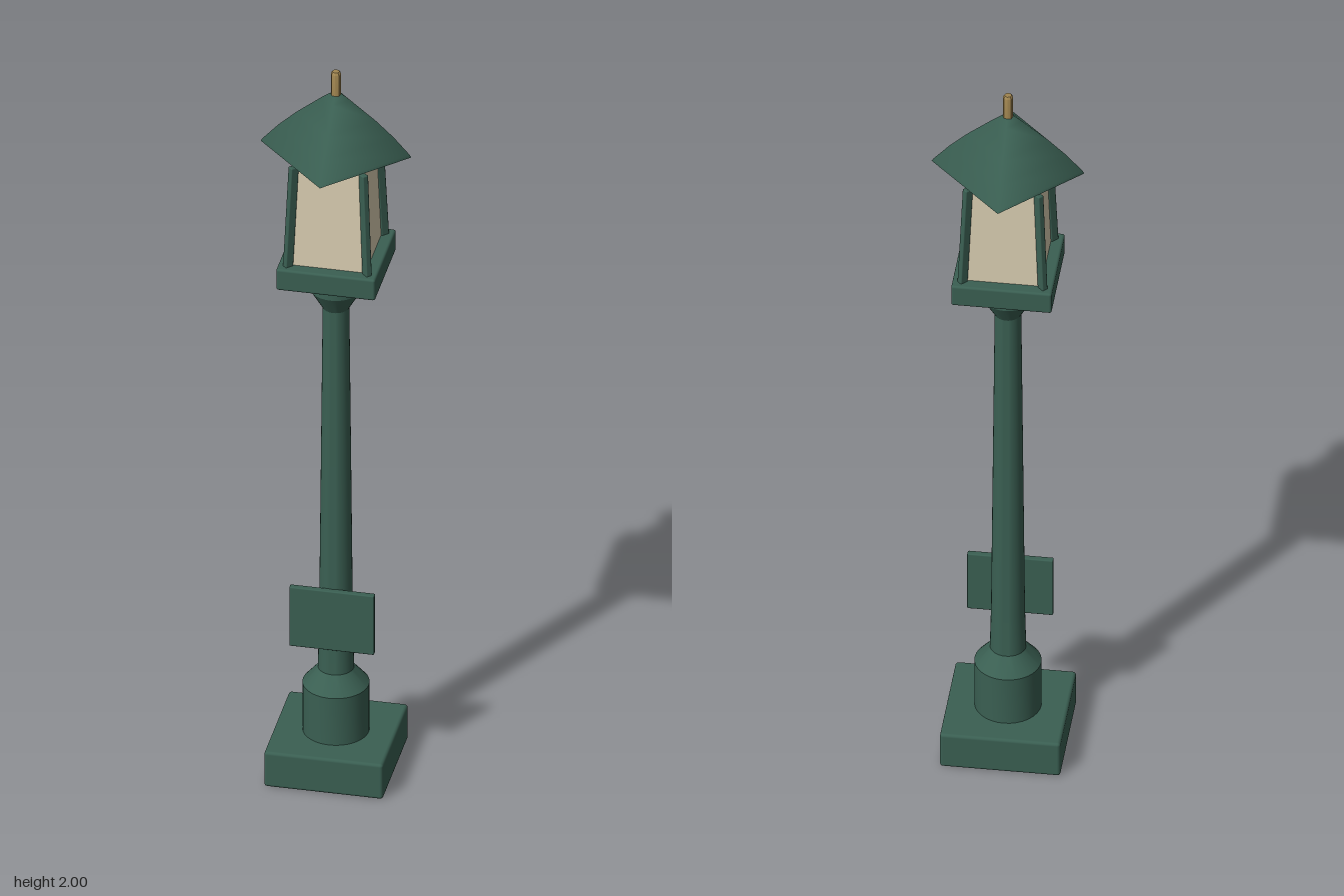
import * as THREE from 'three';
import { RoundedBoxGeometry } from 'three/addons/geometries/RoundedBoxGeometry.js';
import { toCreasedNormals } from 'three/addons/utils/BufferGeometryUtils.js';

const green = new THREE.MeshStandardMaterial({ color: 0x3a5f52 });
const cream = new THREE.MeshStandardMaterial({ color: 0xd8ccb0 });
const brass = new THREE.MeshStandardMaterial({ color: 0xa08550 });

export function createModel() {
  const model = new THREE.Group();

  const add = (name, geometry, material, x = 0, y = 0, z = 0) => {
    const mesh = new THREE.Mesh(geometry, material);
    mesh.name = name;
    mesh.position.set(x, y, z);
    model.add(mesh);
    return mesh;
  };
  const lathe = (points, sides, crease) => toCreasedNormals(
    new THREE.LatheGeometry(points.map(([r, y]) => new THREE.Vector2(r, y)), sides), crease);
  const block = (w, h, d, r) => new RoundedBoxGeometry(w, h, d, 2, r);

  // Square foot
  add('foot', block(0.3, 0.1, 0.3, 0.008), green, 0, 0.05, 0);

  // Turned post with a thick pedestal and a flared collar
  add('post', lathe([
    [0.083, 0.09], [0.083, 0.235], [0.045, 0.28], [0.042, 0.4],
    [0.033, 1.32], [0.065, 1.375], [0.065, 1.43],
  ], 32, 0.5), green);

  // Blank plate on the front of the post
  add('plate', block(0.214, 0.17, 0.016, 0.003), green, 0, 0.44, 0.045);

  // Lantern tray
  add('lanternTray', block(0.25, 0.06, 0.25, 0.006), green, 0, 1.455, 0);

  // Tapered glass: a four-sided prism turned to face the front
  const glass = new THREE.CylinderGeometry(0.085 * Math.SQRT2, 0.095 * Math.SQRT2, 0.31, 4);
  glass.rotateY(Math.PI / 4);
  add('glass', toCreasedNormals(glass, 0.5), cream, 0, 1.63, 0);

  // Leaning bars over the four glass corners
  const up = new THREE.Vector3(0, 1, 0);
  for (const sx of [-1, 1]) for (const sz of [-1, 1]) {
    const bottom = new THREE.Vector3(0.1 * sx, 1.475, 0.1 * sz);
    const top = new THREE.Vector3(0.088 * sx, 1.765, 0.088 * sz);
    const lean = top.clone().sub(bottom);
    const geometry = block(0.016, lean.length(), 0.022, 0.003);
    geometry.rotateY(sx * sz * Math.PI / 4);
    const bar = add('cornerBar', geometry, green);
    bar.position.copy(bottom).add(top).multiplyScalar(0.5);
    bar.quaternion.setFromUnitVectors(up, lean.normalize());
  }

  // Four-sided roof with corners on the axes, softly shaded
  const roof = [[0.19, 1.775], [0.186, 1.782], [0.145, 1.828], [0.1, 1.87],
    [0.035, 1.922], [0.018, 1.934], [0, 1.938]];
  add('roof', new THREE.LatheGeometry(roof.map(([r, y]) => new THREE.Vector2(r, y)), 4), green);
  const underside = new THREE.CircleGeometry(0.19, 4);
  underside.rotateX(Math.PI / 2);
  add('roofUnderside', underside, green, 0, 1.775, 0);

  // Finial
  add('finial', lathe([[0.013, 1.92], [0.013, 1.994], [0.009, 2], [0, 2]], 8, 0.9), brass);

  return model;
}
